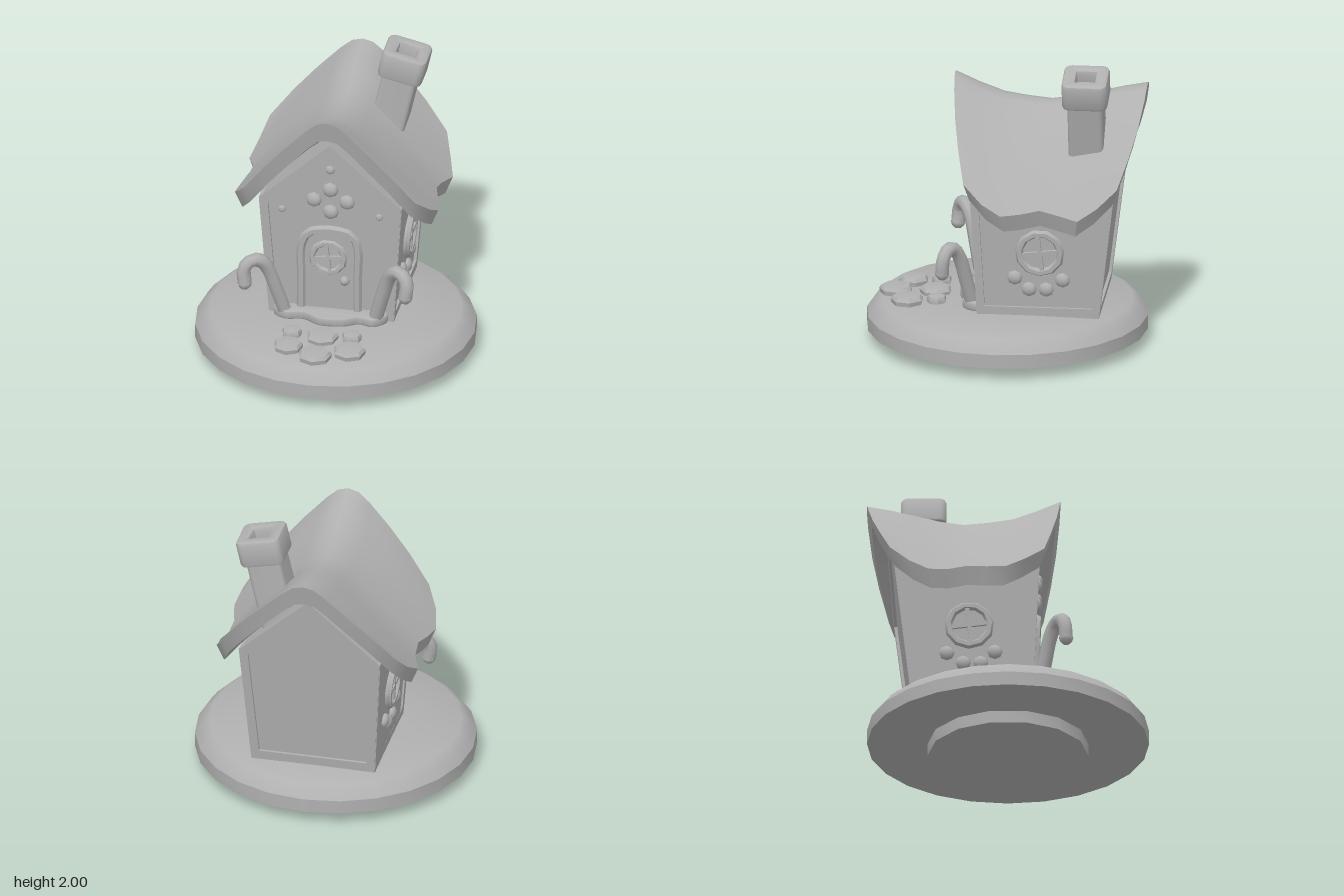
import * as THREE from 'three';
import { toCreasedNormals } from 'three/addons/utils/BufferGeometryUtils.js';

const stone = new THREE.MeshStandardMaterial({ color: 0xb0b0b0 });
stone.name = 'plain grey';

function add(parent, name, geo, x = 0, y = 0, z = 0, crease = 0.7) {
  const mesh = new THREE.Mesh(toCreasedNormals(geo, crease), stone);
  mesh.name = name;
  mesh.position.set(x, y, z);
  parent.add(mesh);
  return mesh;
}

// Moves every vertex by a rule
function warp(geo, rule) {
  const p = geo.attributes.position, v = new THREE.Vector3();
  for (let i = 0; i < p.count; i++) {
    v.fromBufferAttribute(p, i);
    rule(v);
    p.setXYZ(i, v.x, v.y, v.z);
  }
  geo.computeVertexNormals();
  return geo;
}

const shapeOf = pts => new THREE.Shape(pts.map(p => new THREE.Vector2(...p)));
const flat = (shape, depth) => new THREE.ExtrudeGeometry(shape, { depth, bevelEnabled: false, curveSegments: 4 });
const lathe = (pts, n) => new THREE.LatheGeometry(pts.map(p => new THREE.Vector2(...p)), n);
const tube = (pts, r, n, sides) =>
  new THREE.TubeGeometry(new THREE.CatmullRomCurve3(pts.map(p => new THREE.Vector3(...p))), n, r, sides);

// Walls flare outward with height
const frontZ = y => 0.16 + 0.05 * (y - 0.3);
const backZ = y => -0.65 - 0.12 * (y - 0.3);
const sideX = y => 0.42 + 0.069 * (y - 0.3);
const INSET = 0.015;

function gable(w, bottom, eave, apex) {
  const a = sideX(bottom) - w, b = sideX(eave) - w;
  return [[-a, bottom], [a, bottom], [b, eave], [0, apex], [-b, eave]];
}

function buildWalls(g) {
  add(g, 'wallBody', warp(flat(shapeOf(gable(INSET, 0.27, 1.17, 1.62)), 1), v => {
    v.z = THREE.MathUtils.lerp(backZ(v.y) + INSET, frontZ(v.y) - INSET, v.z);
  }), 0, 0, 0, 0.3);

  // Raised borders around the gable panels
  const gableFrame = () => {
    const s = shapeOf(gable(0, 0.27, 1.17, 1.62));
    s.holes.push(shapeOf(gable(0.055, 0.35, 1.14, 1.54)));
    return flat(s, INSET + 0.005);
  };
  add(g, 'frontFrame', warp(gableFrame(), v => { v.z += frontZ(v.y) - INSET; }), 0, 0, 0, 0.3);
  add(g, 'backFrame', warp(gableFrame().rotateY(Math.PI), v => { v.z += backZ(v.y) + INSET; }), 0, 0, 0, 0.3);

  // Raised borders around the side panels
  for (const s of [1, -1]) {
    const quad = (w, lo, hi) => [[frontZ(lo) - w, lo], [backZ(lo) + w, lo], [backZ(hi) + w, hi], [frontZ(hi) - w, hi]]
      .map(([z, y]) => [-s * z, y]);
    const shape = shapeOf(quad(0, 0.27, 1.17));
    shape.holes.push(shapeOf(quad(0.05, 0.35, 1.12)));
    const geo = flat(shape, INSET + 0.005).rotateY(s * Math.PI / 2);
    add(g, 'sideFrame', warp(geo, v => { v.x += s * (sideX(v.y) - INSET); }), 0, 0, 0, 0.3);
  }
}

// Sagging roof lofted from front to back
function buildRoof(g) {
  const ridge = [1.85, 1.775, 1.715, 1.69, 1.675, 1.70, 1.74, 1.78, 1.81];
  const eaveX = [0.58, 0.66, 0.69, 0.665, 0.63, 0.64, 0.69, 0.65, 0.60];
  const eaveY = [1.25, 1.14, 1.07, 1.08, 1.10, 1.07, 1.05, 1.13, 1.25];
  const across = [0, 0.12, 0.25, 0.5, 0.75, 1], drop = [0, 0.03, 0.14, 0.40, 0.68, 1];
  const n = 11, loop = 2 * n, pos = [], idx = [];
  ridge.forEach((r, j) => {
    const v = j / 8, top = [], under = [];
    for (let i = -5; i <= 5; i++) {
      const k = Math.abs(i), f = across[k], s = Math.sign(i);
      const y = r - (r - eaveY[j]) * drop[k];
      const zf = 0.35 - 0.11 * f * f, zb = -0.94 + 0.15 * f * f;
      top.push([s * eaveX[j] * f, y, zf + (zb - zf) * v]);
      under.unshift([s * eaveX[j] * f * 0.93, y - 0.15 + 0.03 * f, zf - 0.035 + (zb - zf + 0.07) * v]);
    }
    pos.push(...top.flat(), ...under.flat());
  });
  const quad = (a, b, c, d) => idx.push(a, b, c, a, c, d);
  for (let j = 0; j < 8; j++) for (let i = 0; i < loop; i++) {
    const k = (i + 1) % loop, o = j * loop;
    quad(o + i, o + k, o + loop + k, o + loop + i);
  }
  const last = 8 * loop;
  for (let i = 0; i < n - 1; i++) {
    const u = loop - 1 - i;
    quad(i, u, u - 1, i + 1);
    quad(last + i, last + i + 1, last + u - 1, last + u);
  }
  const geo = new THREE.BufferGeometry();
  geo.setAttribute('position', new THREE.Float32BufferAttribute(pos, 3));
  geo.setIndex(idx);
  geo.computeVertexNormals();
  add(g, 'roof', geo, 0, 0, 0, 0.75);
}

function roundSquare(h, r) {
  const s = new THREE.Shape();
  s.absarc(h - r, h - r, r, 0, Math.PI / 2);
  s.absarc(r - h, h - r, r, Math.PI / 2, Math.PI);
  s.absarc(r - h, r - h, r, Math.PI, Math.PI * 1.5);
  s.absarc(h - r, r - h, r, Math.PI * 1.5, Math.PI * 2);
  return s;
}

// Leaning chimney with a hollow rounded cap
function buildChimney(g) {
  const chimney = new THREE.Group();
  chimney.name = 'chimney';
  chimney.position.set(0.36, 1.88, -0.56);
  chimney.rotation.z = -0.225;
  const cap = roundSquare(0.13, 0.03);
  cap.holes.push(roundSquare(0.085, 0.02));
  const capGeo = new THREE.ExtrudeGeometry(cap, {
    depth: 0.145, bevelThickness: 0.022, bevelSize: 0.022, bevelSegments: 2, curveSegments: 3,
  }).translate(0, 0, -0.0725).rotateX(-Math.PI / 2);
  add(chimney, 'chimneyCap', capGeo);
  add(chimney, 'chimneyShaft', flat(roundSquare(0.118, 0.03), 0.58).rotateX(-Math.PI / 2), 0, -0.57, 0);
  g.add(chimney);
}

function button(g, x, y, z, r) {
  add(g, 'candyButton', new THREE.SphereGeometry(r, 8, 6).rotateX(Math.PI / 2).scale(1, 1, 0.6), x, y, z, 1);
}

// Round window with a cross of glazing bars
function roundWindow(g, x, y, z, r, t) {
  const w = new THREE.Group();
  w.name = 'roundWindow';
  w.position.set(x, y, z);
  w.rotation.z = 0.12;
  add(w, 'windowRim', new THREE.TorusGeometry(r, t, 6, 11), 0, 0, 0.005, 1);
  add(w, 'windowPane', new THREE.CircleGeometry(r, 11), 0, 0, 0.004);
  add(w, 'glazingBar', new THREE.BoxGeometry(r * 0.2, r * 2, 0.03), 0, 0, 0.008);
  add(w, 'glazingBar', new THREE.BoxGeometry(r * 2, r * 0.2, 0.03), 0, 0, 0.008);
  g.add(w);
}

function buildFront(g) {
  // Door, its arched surround, window and knob
  const outline = [[-0.2, 0.3], [0.18, 0.3], [0.185, 0.85], [0.14, 0.94], [0.04, 0.965], [-0.07, 0.965], [-0.15, 0.92], [-0.195, 0.82]];
  add(g, 'door', warp(flat(shapeOf(outline), 0.02), v => { v.z += frontZ(v.y) - INSET; }), 0, 0, 0, 0.3);
  const arch = [[-0.205, 0.3], [-0.2, 0.6], [-0.195, 0.84], [-0.15, 0.93], [-0.06, 0.962], [0.05, 0.962], [0.145, 0.935], [0.182, 0.85], [0.18, 0.6], [0.178, 0.3]];
  add(g, 'doorFrame', tube(arch.map(([x, y]) => [x, y, frontZ(y)]), 0.031, 26, 6), 0, 0, 0, 1);
  roundWindow(g, -0.015, 0.755, frontZ(0.755) + 0.006, 0.11, 0.022);
  add(g, 'doorKnob', new THREE.SphereGeometry(0.034, 8, 6), 0.095, 0.585, frontZ(0.585) + 0.015, 1);

  // Candy buttons on the gable
  for (const [x, y, r] of [[0, 1.27, 0.055], [-0.112, 1.185, 0.055], [0.112, 1.185, 0.055], [0, 1.1, 0.055],
    [0, 1.425, 0.033], [-0.33, 1.09, 0.026], [0.33, 1.09, 0.026]]) button(g, x, y, frontZ(y) - 0.008, r);

  // Wavy icing doorstep
  const step = new THREE.Shape();
  step.moveTo(-0.36, -0.12);
  step.splineThru([[-0.37, -0.2], [-0.29, -0.25], [-0.17, -0.235], [-0.05, -0.3], [0.1, -0.29], [0.2, -0.24], [0.3, -0.26], [0.37, -0.19], [0.36, -0.12]]
    .map(p => new THREE.Vector2(...p)));
  const stepGeo = new THREE.ExtrudeGeometry(step, { depth: 0.04, bevelThickness: 0.012, bevelSize: 0.012, bevelSegments: 2, curveSegments: 20 });
  add(g, 'doorstep', stepGeo.rotateX(-Math.PI / 2), 0, 0.305, 0, 0.9);

  // Candy canes beside the door
  for (const s of [1, -1]) {
    const path = [[0.3, 0.3, 0.2], [0.36, 0.52, 0.245], [0.41, 0.68, 0.28], [0.445, 0.745, 0.31], [0.5, 0.765, 0.345], [0.55, 0.715, 0.375], [0.545, 0.61, 0.385]]
      .map(([x, y, z]) => [s * x, y, z]);
    add(g, 'candyCane', tube(path, 0.048, 18, 8), 0, 0, 0, 1.2);
    add(g, 'candyCaneTip', new THREE.SphereGeometry(0.048, 8, 6), ...path[6], 1.2);
  }
}

// Window and buttons on each side wall
function buildSides(g) {
  for (const s of [1, -1]) {
    const side = new THREE.Group();
    side.name = s > 0 ? 'leftWindowGroup' : 'rightWindowGroup';
    side.rotation.set(0.069, s * Math.PI / 2, 0, 'YXZ');
    side.position.set(s * (sideX(0.745) - INSET), 0.745, -0.26);
    roundWindow(side, 0, 0, 0.012, 0.14, 0.027);
    for (const [z, y] of [[-0.09, 0.56], [-0.185, 0.48], [-0.3, 0.48], [-0.41, 0.55]])
      button(side, -s * (z + 0.26), y - 0.745, 0.01, 0.052);
    g.add(side);
  }
}

function buildBase(g) {
  add(g, 'pedestal', lathe([[0, 0], [0.535, 0], [0.535, 0.1]], 14), 0, 0, 0, 0.6);
  add(g, 'baseDisc', lathe([[0, 0.085], [0.94, 0.085], [0.94, 0.18], [0.9, 0.235], [0.865, 0.265], [0.84, 0.28], [0.4, 0.295], [0, 0.3]], 24), 0, 0, 0, 0.6);

  // Stepping stones
  for (const [x, z, r] of [[0, 0.48, 0.11], [-0.21, 0.46, 0.068], [0.195, 0.455, 0.068],
    [-0.2, 0.645, 0.1], [0.215, 0.65, 0.112], [0, 0.745, 0.115]])
    add(g, 'steppingStone', lathe([[r * 0.95, 0], [r, 0.03], [r * 0.85, 0.05], [0, 0.06]], 7), x, 0.285, z);
}

export function createModel() {
  const g = new THREE.Group();
  g.name = 'gingerbreadHouse';
  buildBase(g);
  buildWalls(g);
  buildRoof(g);
  buildChimney(g);
  buildFront(g);
  buildSides(g);
  return g;
}
